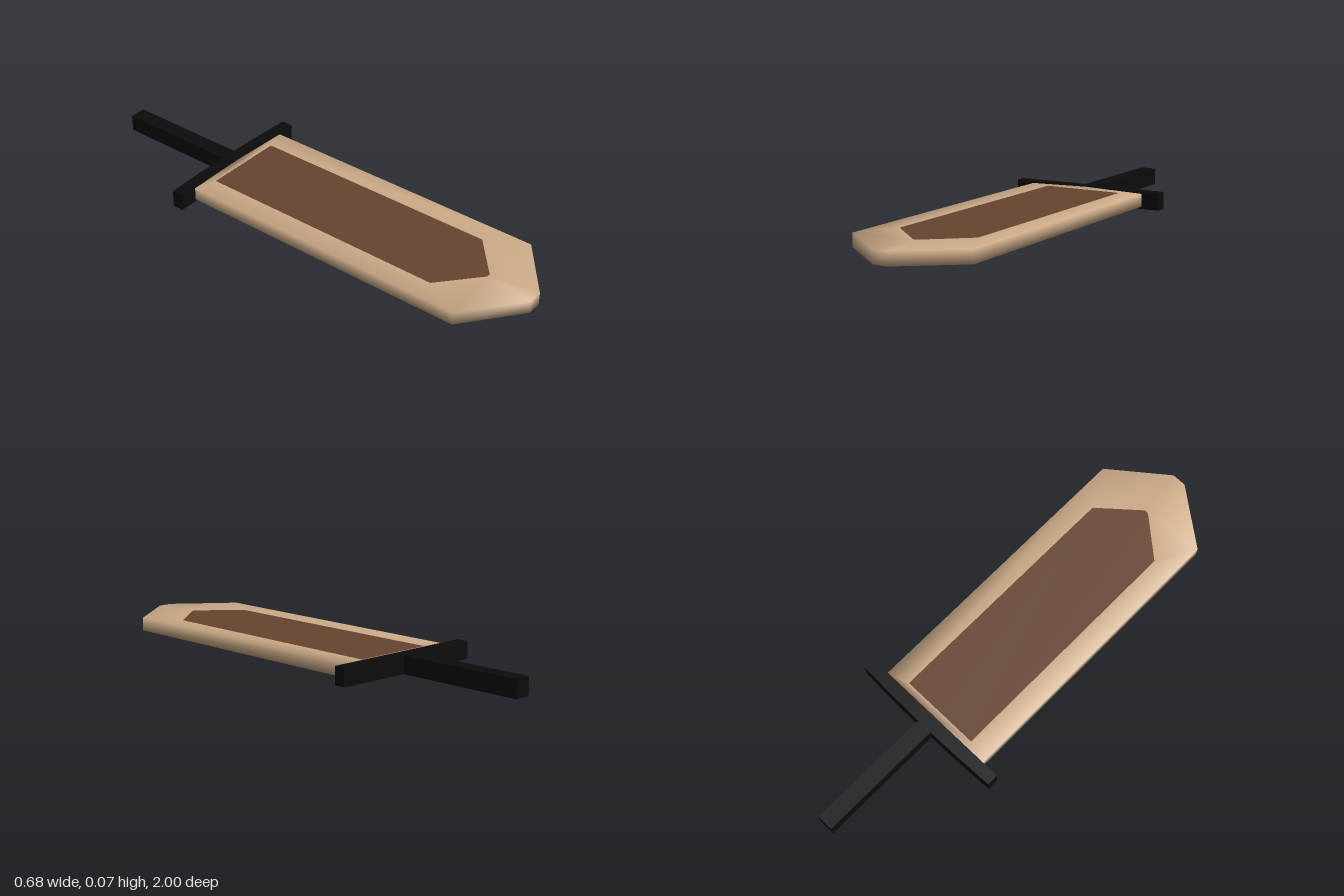
import * as THREE from 'three';

const beige = new THREE.MeshStandardMaterial({ color: 0xccab88 });
beige.name = 'pale edge';
const brown = new THREE.MeshStandardMaterial({ color: 0x66442f });
brown.name = 'brown core';
const black = new THREE.MeshStandardMaterial({ color: 0x0b0b0b });
black.name = 'black grip';

const MID = 0.0365, HALF = 0.0268;

// Blade outline and core outline as [x, z, half height]; same count, same order
const OUTER = [
  [0, -0.42, 0.0335], [-0.26, -0.42, HALF], [-0.26, 0.82, HALF], [-0.03, 1, HALF],
  [0.03, 1, HALF], [0.26, 0.82, HALF], [0.26, -0.42, HALF],
];
const INNER = [
  [0, -0.39, HALF], [-0.17, -0.39, HALF], [-0.17, 0.66, HALF], [-0.008, 0.8, HALF],
  [0.008, 0.8, HALF], [0.17, 0.66, HALF], [0.17, -0.39, HALF],
];

// Shared vertices let the shading roll softly over the rim
function bladeGeometry() {
  const n = OUTER.length;
  const rings = [[INNER, 1], [OUTER, 1], [OUTER, -1], [INNER, -1]];
  const positions = rings.flatMap(([ring, s]) => ring.flatMap(([x, z, h]) => [x, MID + s * h, z]));
  const edge = [], core = [];
  for (let r = 0; r < 3; r++) {
    for (let i = 0; i < n; i++) {
      const j = (i + 1) % n;
      const a = r * n + i, b = r * n + j, c = a + n, d = b + n;
      edge.push(a, c, b, b, c, d);
    }
  }
  // Flat core on the top and on the underside
  const shape = INNER.map(([x, z]) => new THREE.Vector2(x, z));
  for (const [a, b, c] of THREE.ShapeUtils.triangulateShape(shape, [])) {
    const area = (shape[b].x - shape[a].x) * (shape[c].y - shape[a].y)
      - (shape[b].y - shape[a].y) * (shape[c].x - shape[a].x);
    const [p, q] = area > 0 ? [c, b] : [b, c];
    core.push(a, p, q, 3 * n + a, 3 * n + q, 3 * n + p);
  }
  const geo = new THREE.BufferGeometry();
  geo.setAttribute('position', new THREE.Float32BufferAttribute(positions, 3));
  geo.setIndex([...edge, ...core]);
  geo.addGroup(0, edge.length, 0);
  geo.addGroup(edge.length, core.length, 1);
  geo.computeVertexNormals();
  return geo;
}

// Crossguard with a slightly bowed rear face
function guardGeometry() {
  const geo = new THREE.BoxGeometry(0.676, 0.071, 0.047, 8, 1, 1);
  const p = geo.attributes.position;
  for (let i = 0; i < p.count; i++) {
    if (p.getZ(i) < 0) p.setZ(i, p.getZ(i) - 0.008 * (1 - (p.getX(i) / 0.338) ** 2));
  }
  geo.computeVertexNormals();
  return geo;
}

export function createModel() {
  const model = new THREE.Group();
  model.name = 'sword';
  const add = (name, geo, mat, y, z) => {
    const mesh = new THREE.Mesh(geo, mat);
    mesh.name = name;
    mesh.position.set(0, y, z);
    model.add(mesh);
  };
  add('blade', bladeGeometry(), [beige, brown], 0, 0);
  add('crossguard', guardGeometry(), black, 0.0355, -0.4425);
  add('handle', new THREE.BoxGeometry(0.068, 0.071, 0.54), black, 0.0355, -0.73);
  return model;
}
